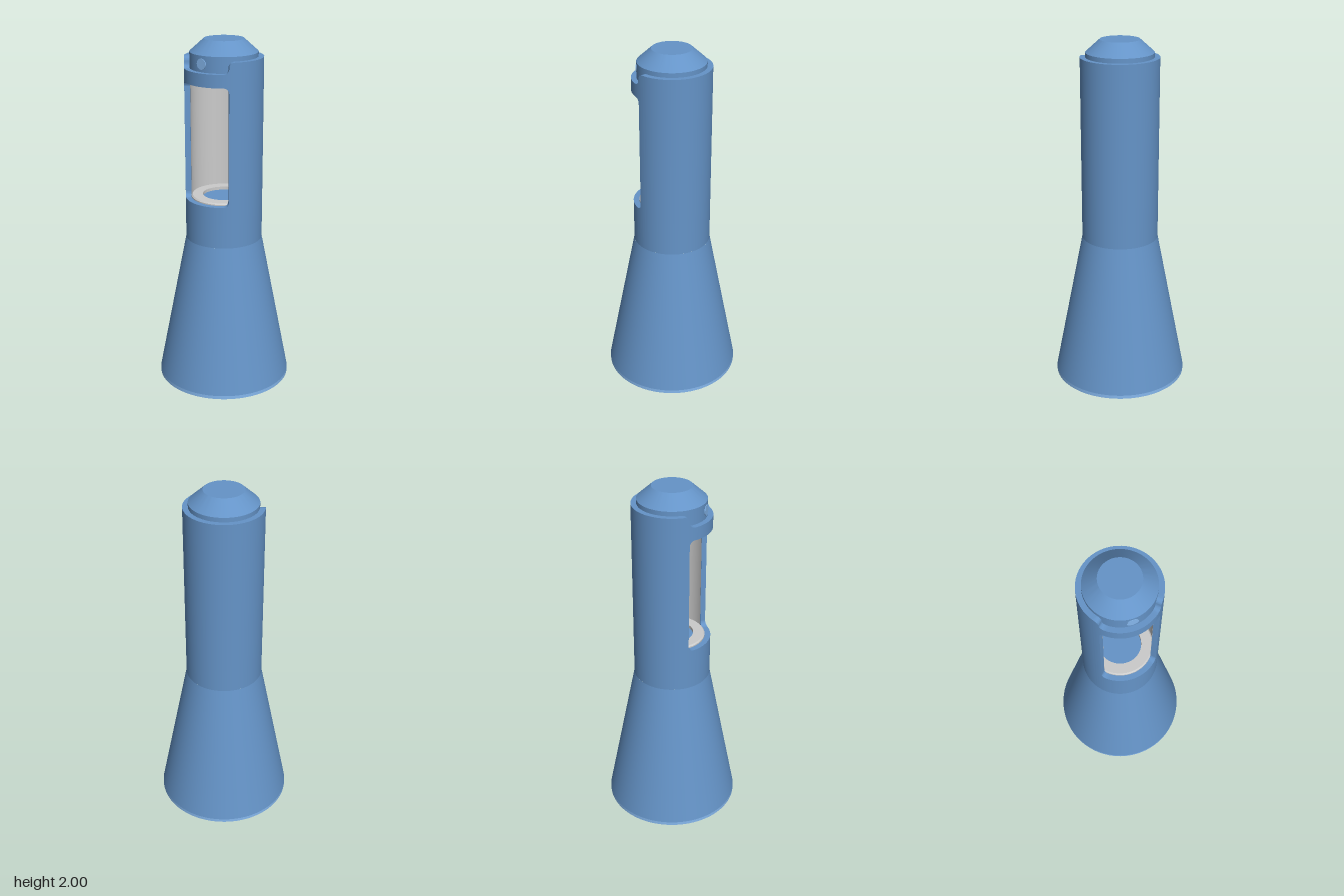
import * as THREE from 'three';
import { toCreasedNormals } from 'three/addons/utils/BufferGeometryUtils.js';

const OUTER = 0.218, INNER = 0.186;
const OPEN = THREE.MathUtils.degToRad(47); // half angle of the front opening
const FILLET = 0.03;

const blue = new THREE.MeshStandardMaterial({ color: 0x6594c8 });
const lightBlue = new THREE.MeshStandardMaterial({ color: 0x86b8ee });
const grey = new THREE.MeshStandardMaterial({ color: 0xcccccc });
const greyShell = new THREE.MeshStandardMaterial({ color: 0xcccccc, side: THREE.DoubleSide });

// Rise of a rounded corner at arc distance d from the edge it runs into
function corner(d) {
  if (d >= FILLET) return 0;
  const k = FILLET - Math.max(d, 0);
  return FILLET - Math.sqrt(Math.max(FILLET * FILLET - k * k, 0));
}

// Curved wall piece between two angles, with bottom and top heights given by angle
function wall(a0, a1, segments, low, high) {
  const g = new THREE.BoxGeometry(1, 1, 1, segments, 1, 1);
  const p = g.attributes.position;
  for (let i = 0; i < p.count; i++) {
    const t = (1 - Math.cos(Math.PI * (p.getX(i) + 0.5))) / 2; // denser at the ends
    const a = a0 + (a1 - a0) * t;
    const d = Math.min(a - a0, a1 - a) * OUTER;
    const y = p.getY(i) < 0 ? low(d) : high(d);
    const r = p.getZ(i) < 0 ? INNER : OUTER;
    p.setXYZ(i, r * Math.sin(a), y, r * Math.cos(a));
  }
  return toCreasedNormals(g, 0.6);
}

function lathe(points) {
  const g = new THREE.LatheGeometry(points.map(([r, y]) => new THREE.Vector2(r, y)), 96);
  return toCreasedNormals(g, 0.15);
}

export function createModel() {
  const group = new THREE.Group();
  const add = (name, geometry, material) => {
    const mesh = new THREE.Mesh(geometry, material);
    mesh.name = name;
    group.add(mesh);
    return mesh;
  };

  // Flared base with a straight rim
  add('baseRim', lathe([[0, 0], [0.383, 0], [0.383, 0.02]]), lightBlue);
  add('baseUnderside', lathe([[0, -0.0005], [0.381, -0.0005]]), blue);
  add('flaredBase', lathe([[0.383, 0.02], [OUTER, 0.865]]), blue);

  // Tube: solid back, sill under the window, band above it
  add('tubeBack', wall(OPEN, 2 * Math.PI - OPEN, 80,
    () => 0.865, d => 1.905 - corner(d)), blue);
  add('windowSill', wall(-OPEN, OPEN, 40,
    () => 0.865, d => 1.105 + corner(d)), blue);
  add('windowLintel', wall(-OPEN, OPEN, 40,
    d => 1.77 - corner(d), d => 1.842 + corner(d)), blue);

  // Grey chamber lining, ceiling and floor ring
  add('chamberLining', new THREE.CylinderGeometry(0.185, 0.185, 0.67, 72, 1, true,
    OPEN, 2 * Math.PI - 2 * OPEN), greyShell).position.y = 1.437;
  add('chamberCeiling', lathe([[0, 1.769], [0.186, 1.769]]), greyShell);
  add('floorRing', lathe([[0.12, 1.1], [0.12, 1.118], [0.178, 1.118], [0.185, 1.111], [0.185, 1.1]].reverse()), greyShell);
  add('chamberFloor', new THREE.CylinderGeometry(0.186, 0.186, 0.02, 72), blue).position.y = 1.09;

  // Thin upright strip on the back of the chamber
  add('backStrip', new THREE.BoxGeometry(0.016, 0.54, 0.006), lightBlue).position.set(0, 1.43, -0.182);

  // Chamfered cap with a round front button
  add('cap', lathe([[0, 1.772], [0.188, 1.772], [0.188, 1.93], [0.11, 2], [0, 2]]), blue);
  const button = add('button', new THREE.CylinderGeometry(0.03, 0.03, 0.008, 32), lightBlue);
  button.rotation.x = Math.PI / 2;
  button.position.set(0, 1.885, 0.186);

  return group;
}
